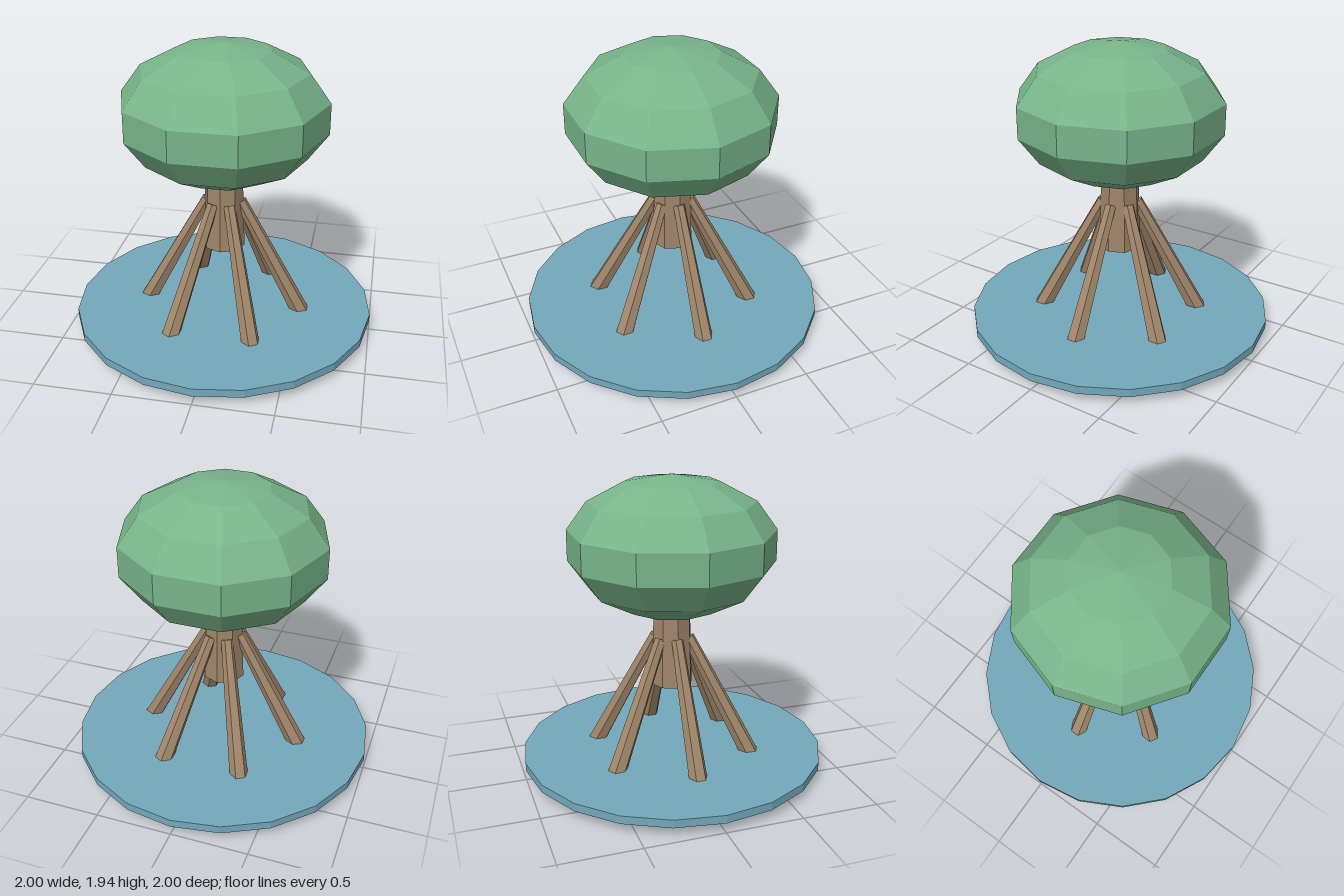
import * as THREE from 'three';

function makeMaterial(name, color) {
  const material = new THREE.MeshStandardMaterial({ color });
  material.name = name;
  return material;
}

// Split every face so its normals are flat
function facetedMesh(name, geometry, material) {
  const flat = geometry.toNonIndexed();
  flat.computeVertexNormals();
  const mesh = new THREE.Mesh(flat, material);
  mesh.name = name;
  return mesh;
}

export function createModel() {
  const model = new THREE.Group();
  model.name = 'mangroveTree';

  const leaf = makeMaterial('leafGreen', 0x78b58a);
  const bark = makeMaterial('barkBrown', 0xa0866a);
  const water = makeMaterial('waterBlue', 0x74a9bc);

  // Round sheet of water
  const pool = facetedMesh('water', new THREE.CylinderGeometry(1, 1, 0.053, 20), water);
  pool.position.y = 0.095;
  model.add(pool);

  // Trunk hanging above the water, its top buried in the canopy
  const trunk = facetedMesh('trunk', new THREE.CylinderGeometry(0.12, 0.14, 0.63, 8), bark);
  trunk.position.y = 0.57 + 0.315;
  model.add(trunk);

  // Squashed leafy canopy
  const canopyShape = new THREE.SphereGeometry(0.684, 10, 7).scale(1, 0.45 / 0.684, 1);
  const canopy = facetedMesh('canopy', canopyShape, leaf);
  canopy.position.y = 1.497;
  model.add(canopy);

  // Six stilt roots leaning out through the water
  const rootTop = new THREE.Vector3(0.11, 0.893, 0);
  const rootFoot = new THREE.Vector3(0.565, 0.031, 0);
  const axis = rootTop.clone().sub(rootFoot);
  const roots = new THREE.Group();
  roots.name = 'stiltRoots';
  for (let i = 0; i < 6; i++) {
    const pivot = new THREE.Group();
    pivot.name = 'rootPivot' + (i + 1);
    pivot.rotation.y = (i * Math.PI) / 3;
    const shape = new THREE.CylinderGeometry(0.039, 0.063, axis.length(), 6);
    const root = facetedMesh('stiltRoot', shape, bark);
    root.position.copy(rootTop).add(rootFoot).multiplyScalar(0.5);
    root.rotation.z = Math.atan2(-axis.x, axis.y);
    pivot.add(root);
    roots.add(pivot);
  }
  model.add(roots);

  return model;
}
